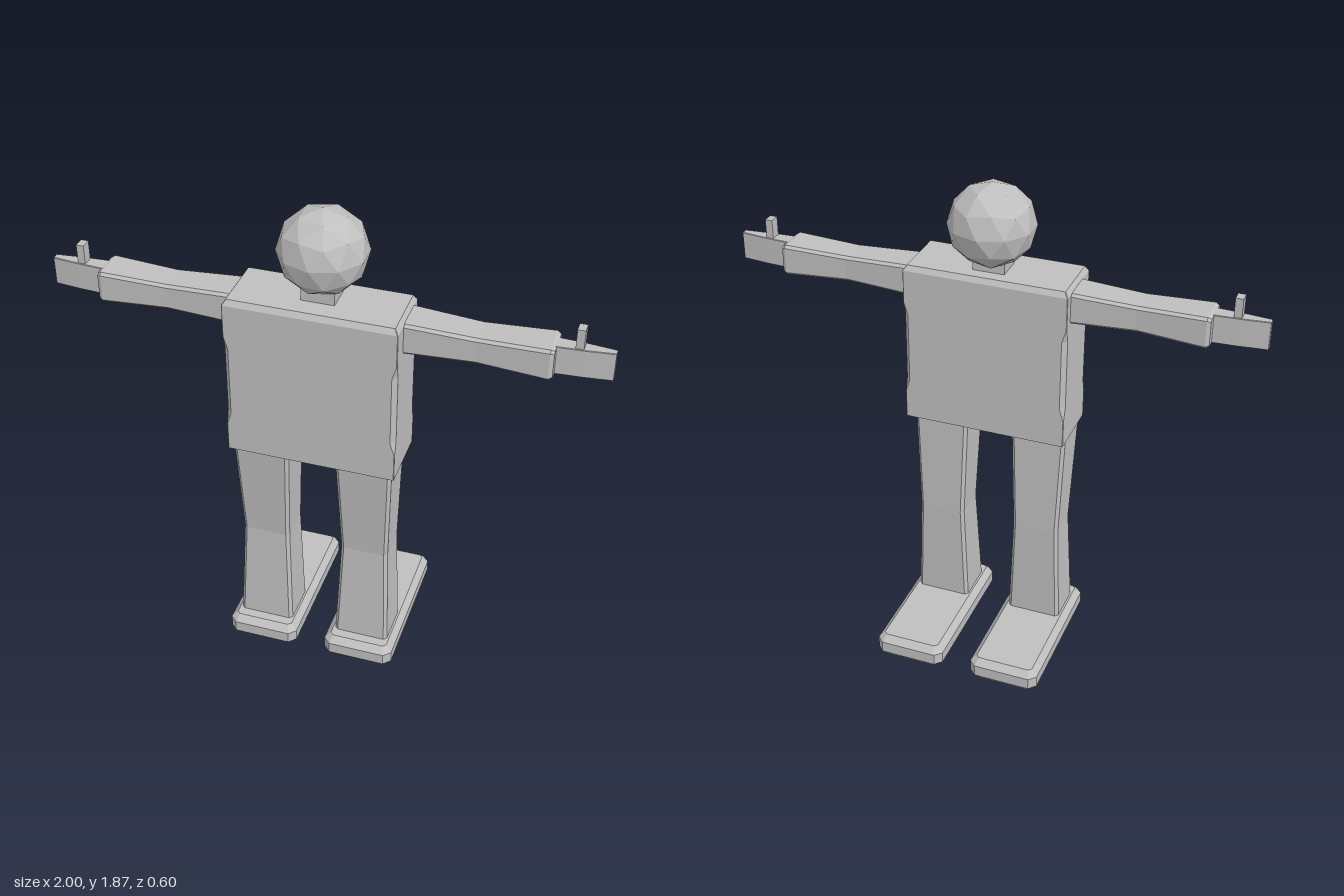
import * as THREE from 'three';

const grey = new THREE.MeshStandardMaterial({ color: 0xbfbfbf });
grey.name = 'plain grey';

// Flat-shaded loft through rectangles with cut corners.
// Section: [t, a0, a1, b0, b1, cut]. Axis 'y': a = z, b = x. Axis 'x': a = y, b = z.
function loft(name, axis, sections) {
  const place = axis === 'y' ? (t, a, b) => [b, t, a] : (t, a, b) => [t, a, b];
  const rings = sections.map(([t, a0, a1, b0, b1, c]) => [
    [a1, b0 + c], [a1, b1 - c], [a1 - c, b1], [a0 + c, b1],
    [a0, b1 - c], [a0, b0 + c], [a0 + c, b0], [a1 - c, b0],
  ].map(([a, b]) => place(t, a, b)));
  const pos = [];
  const tri = (...points) => points.forEach((p) => pos.push(...p));
  for (let i = 0; i < rings.length - 1; i++) {
    for (let j = 0; j < 8; j++) {
      const k = (j + 1) % 8, p = rings[i], q = rings[i + 1];
      tri(p[j], p[k], q[k]);
      tri(p[j], q[k], q[j]);
    }
  }
  const first = rings[0], last = rings[rings.length - 1];
  for (let j = 1; j < 7; j++) {
    tri(first[0], first[j + 1], first[j]);
    tri(last[0], last[j], last[j + 1]);
  }
  const geometry = new THREE.BufferGeometry();
  geometry.setAttribute('position', new THREE.Float32BufferAttribute(pos, 3));
  geometry.computeVertexNormals();
  const mesh = new THREE.Mesh(geometry, grey);
  mesh.name = name;
  return mesh;
}

function box(name, w, h, d, x, y, z) {
  const mesh = new THREE.Mesh(new THREE.BoxGeometry(w, h, d), grey);
  mesh.name = name;
  mesh.position.set(x, y, z);
  return mesh;
}

export function createModel() {
  const model = new THREE.Group();
  model.name = 'blockFigure';

  // Torso: corners shaved along the waist, bevelled shoulders
  model.add(loft('torso', 'y', [
    [0.92, 0.03, 0.275, -0.315, 0.305, 0.002],
    [1.03, 0.03, 0.275, -0.315, 0.305, 0.002],
    [1.08, 0.03, 0.275, -0.315, 0.305, 0.017],
    [1.35, 0.03, 0.275, -0.315, 0.305, 0.017],
    [1.40, 0.03, 0.275, -0.315, 0.305, 0.002],
    [1.525, 0.03, 0.275, -0.315, 0.305, 0.002],
    [1.545, 0.042, 0.262, -0.302, 0.292, 0.002],
  ]));

  // Neck and faceted head, with one vertex straight up
  model.add(box('neck', 0.12, 0.09, 0.1, 0, 1.575, 0.14));
  const ball = new THREE.IcosahedronGeometry(0.16, 1);
  ball.rotateX(-Math.atan((1 + Math.sqrt(5)) / 2));
  ball.rotateY(Math.PI / 2);
  ball.scale(1, 0.97, 1);
  ball.computeVertexNormals();
  const head = new THREE.Mesh(ball, grey);
  head.name = 'head';
  head.position.set(0, 1.716, 0.126);
  model.add(head);

  // Legs with slightly bent knees, and long bevelled feet
  for (const [side, x] of [['left', 0.181], ['right', -0.205]]) {
    model.add(loft(side + 'Leg', 'y', [
      [0.08, 0.065, 0.24, x - 0.105, x + 0.105, 0.012],
      [0.5, 0.062, 0.212, x - 0.09, x + 0.09, 0.012],
      [0.93, 0.07, 0.243, x - 0.105, x + 0.105, 0.012],
    ]));
    model.add(loft(side + 'Foot', 'y', [
      [0, -0.28, 0.28, x - 0.113, x + 0.113, 0.018],
      [0.025, -0.3, 0.3, x - 0.135, x + 0.135, 0.026],
      [0.07, -0.3, 0.3, x - 0.135, x + 0.135, 0.026],
      [0.095, -0.275, 0.275, x - 0.112, x + 0.112, 0.012],
    ]));
  }

  // Arms straight out, narrowing in the middle, with flat hands and thumbs
  const arm = [
    [0.29, 1.408, 1.527, 0.065, 0.207, 0.01],
    [0.55, 1.417, 1.515, 0.076, 0.2, 0.01],
    [0.795, 1.405, 1.523, 0.065, 0.207, 0.01],
    [0.808, 1.412, 1.516, 0.073, 0.199, 0.008],
  ];
  const hand = [
    [0.79, 1.413, 1.519, 0.106, 0.168, 0.002],
    [0.9, 1.413, 1.519, 0.113, 0.161, 0.002],
    [1.0, 1.413, 1.519, 0.124, 0.15, 0.002],
  ];
  const mirror = (s) => s.map(([t, ...rest]) => [-t, ...rest]).reverse();
  model.add(loft('leftArm', 'x', arm), loft('rightArm', 'x', mirror(arm)));
  model.add(loft('leftHand', 'x', hand), loft('rightHand', 'x', mirror(hand)));
  model.add(box('leftThumb', 0.028, 0.08, 0.04, 0.881, 1.551, 0.137));
  model.add(box('rightThumb', 0.028, 0.08, 0.04, -0.887, 1.551, 0.137));

  return model;
}
